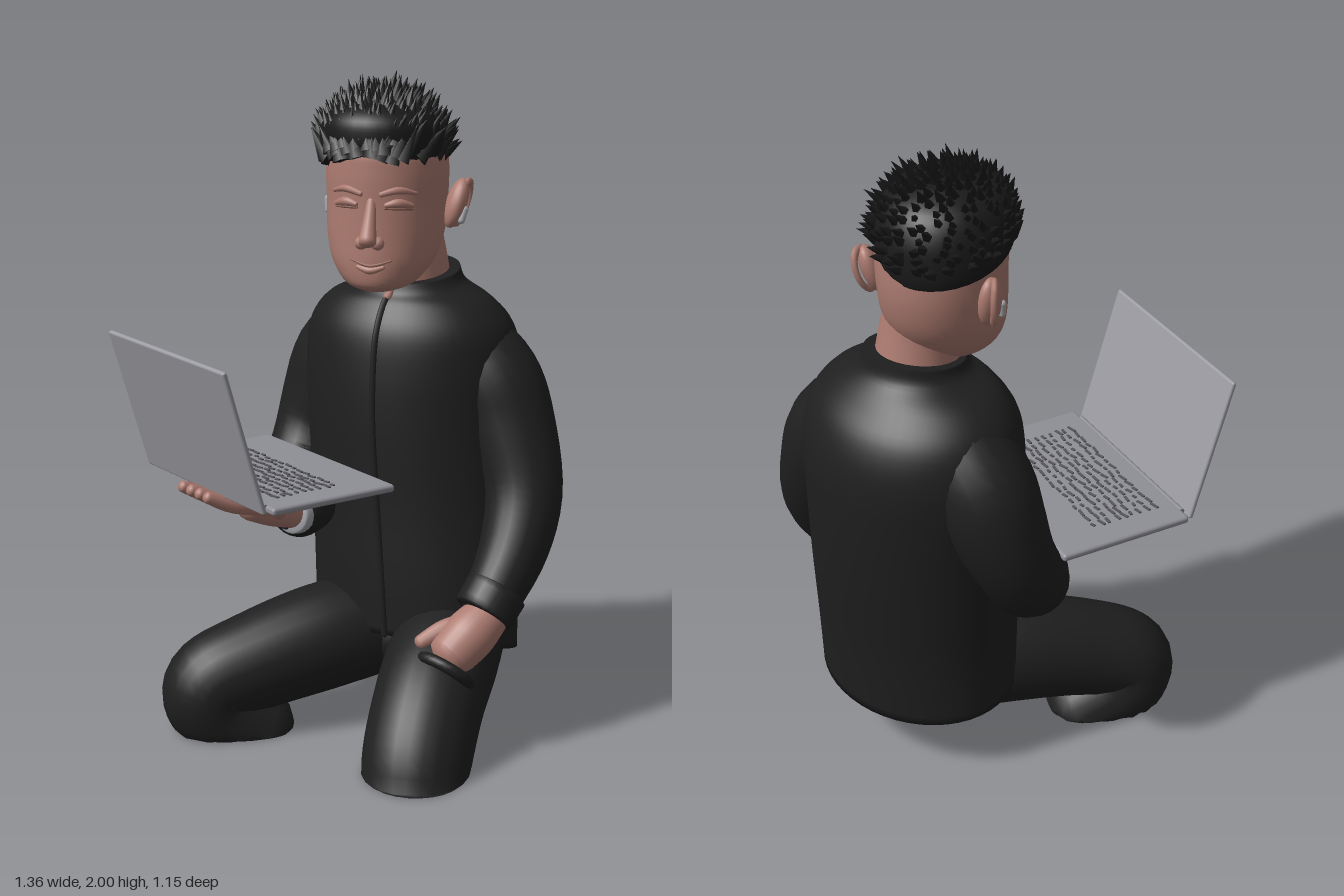
import * as THREE from 'three';
import { mergeGeometries } from 'three/addons/utils/BufferGeometryUtils.js';
import { RoundedBoxGeometry } from 'three/addons/geometries/RoundedBoxGeometry.js';

const V = (x, y, z) => new THREE.Vector3(x, y, z);
const mat = (name, color) => {
  const m = new THREE.MeshStandardMaterial({ color });
  m.name = name;
  return m;
};

// Smoothly interpolates rows of numbers (Catmull-Rom)
function spline(rows, n) {
  const last = rows.length - 1;
  return Array.from({ length: n + 1 }, (_, k) => {
    const f = (k / n) * last, i = Math.min(Math.floor(f), last - 1), t = f - i;
    const at = j => rows[Math.min(Math.max(j, 0), last)];
    return rows[i].map((_, c) => {
      const a = at(i - 1)[c], b = at(i)[c], d = at(i + 1)[c], e = at(i + 2)[c];
      return b + 0.5 * t * (d - a + t * (2 * a - 5 * b + 4 * d - e + t * (3 * (b - d) + e - a)));
    });
  });
}

// Skins rings {c, u, v}; u x v points along the direction of travel. Nothing goes below the floor when clamped.
function loft(rings, seg = 32, clamp = false) {
  const pos = [], idx = [], n = rings.length;
  const put = p => pos.push(p.x, clamp ? Math.max(p.y, 0) : p.y, p.z);
  for (const { c, u, v } of rings)
    for (let j = 0; j < seg; j++) {
      const a = (j / seg) * Math.PI * 2;
      put(c.clone().addScaledVector(u, Math.cos(a)).addScaledVector(v, Math.sin(a)));
    }
  put(rings[0].c);
  put(rings[n - 1].c);
  for (let j = 0; j < seg; j++) {
    const k = (j + 1) % seg, e = (n - 1) * seg;
    for (let i = 0; i < n - 1; i++) {
      const r = i * seg, s = r + seg;
      idx.push(r + j, r + k, s + j, r + k, s + k, s + j);
    }
    idx.push(n * seg, k, j, n * seg + 1, e + j, e + k);
  }
  const g = new THREE.BufferGeometry();
  g.setAttribute('position', new THREE.Float32BufferAttribute(pos, 3));
  g.setIndex(idx);
  g.computeVertexNormals();
  return g;
}

// Round-ended tube through rows [x, y, z, radius]
function limb(rows, { n = 24, seg = 24, clamp = false, cap = 0.7 } = {}) {
  const pts = spline(rows, n).map(r => ({ c: V(r[0], r[1], r[2]), r: r[3] }));
  pts.forEach((p, i) => {
    p.t = pts[Math.min(i + 1, n)].c.clone().sub(pts[Math.max(i - 1, 0)].c).normalize();
  });
  const ends = (p, s) => [0.4, 0.8, 1.15, 1.45].map(a =>
    ({ c: p.c.clone().addScaledVector(p.t, s * cap * p.r * Math.sin(a)), r: p.r * Math.cos(a), t: p.t }));
  const all = [...ends(pts[0], -1).reverse(), ...pts, ...ends(pts[n], 1)];
  let u = Math.abs(all[0].t.x) < 0.8 ? V(1, 0, 0) : V(0, 0, 1);
  return loft(all.map(p => {
    u = u.clone().addScaledVector(p.t, -u.dot(p.t)).normalize();
    return { c: p.c, u: u.clone().multiplyScalar(p.r), v: p.t.clone().cross(u).multiplyScalar(p.r) };
  }), seg, clamp);
}

export function createModel() {
  const model = new THREE.Group();
  const cloth = mat('black cloth', 0x1f1f1f), hairMat = mat('black hair', 0x191919);
  const skin = mat('skin', 0xac7b70), crease = mat('skin crease', 0x8f6459);
  const grey = mat('laptop grey', 0x8f8f96), lidGrey = mat('lid grey', 0x9c9ca3);
  const dark = mat('key grey', 0x56565c), pale = mat('pale grey', 0xa4a6aa);
  const add = (parent, name, geo, m, p) => {
    const mesh = new THREE.Mesh(geo, m);
    mesh.name = name;
    if (p) mesh.position.set(...p);
    parent.add(mesh);
    return mesh;
  };

  // Jacket: rows [y, x, z, half width, half depth, front tilt], turned toward -x
  const F = V(-0.59, 0, 0.81), L = V(0.81, 0, 0.59);
  const torso = spline([
    [0.25, 0.265, -0.13, 0.335, 0.235, 0.06], [0.45, 0.265, -0.15, 0.335, 0.25, 0.03],
    [0.7, 0.265, -0.185, 0.335, 0.27, 0], [0.95, 0.26, -0.21, 0.34, 0.285, 0],
    [1.12, 0.26, -0.22, 0.345, 0.283, 0], [1.24, 0.255, -0.215, 0.325, 0.255, 0],
    [1.32, 0.25, -0.205, 0.26, 0.2, 0], [1.365, 0.25, -0.19, 0.17, 0.158, -0.012],
    [1.405, 0.25, -0.19, 0.148, 0.145, -0.022]], 40)
    .map(([y, x, z, a, b, tf]) => ({ c: V(x, y, z), u: F.clone().multiplyScalar(b).setY(tf), v: L.clone().multiplyScalar(a) }));
  add(model, 'jacket', loft(torso, 48), cloth);
  const front = torso.map(r => r.c.clone().add(r.u).addScaledVector(r.v, 0.04));
  const strip = (from, to, r) => limb(front.slice(from, to).map(p => [p.x, p.y, p.z, r]), { n: 40, seg: 8 });
  add(model, 'jacketPlacket', strip(0, 33, 0.01), cloth);
  add(model, 'collarOpening', strip(33, 41, 0.013), skin);

  // Arms and cuffs
  add(model, 'leftSleeve', limb([[0.38, 1.19, -0.14, 0.145], [0.475, 1.08, -0.07, 0.155], [0.525, 0.95, -0.02, 0.145],
    [0.56, 0.76, 0.06, 0.122], [0.52, 0.6, 0.14, 0.105], [0.43, 0.45, 0.22, 0.085]]), cloth);
  add(model, 'leftCuff', limb([[0.46, 0.49, 0.2, 0.096], [0.415, 0.43, 0.23, 0.094]], { n: 4, cap: 0.15 }), cloth);
  add(model, 'rightSleeve', limb([[0.13, 1.19, -0.34, 0.145], [0.06, 1.08, -0.405, 0.155], [0.015, 0.96, -0.425, 0.145],
    [-0.035, 0.83, -0.415, 0.125], [-0.08, 0.715, -0.34, 0.118], [-0.08, 0.69, -0.15, 0.1],
    [-0.12, 0.7, 0.0, 0.085]]), cloth);
  add(model, 'rightInnerCuff', limb([[-0.115, 0.695, 0.0, 0.07], [-0.145, 0.7, 0.035, 0.062]], { n: 4, cap: 0.15 }), pale);

  // Left hand, fingers tucked into the pocket
  add(model, 'leftHand', limb([[0.43, 0.43, 0.24, 0.066], [0.37, 0.38, 0.27, 0.078], [0.31, 0.325, 0.29, 0.072]]), skin);
  add(model, 'leftThumb', limb([[0.37, 0.41, 0.25, 0.032], [0.29, 0.39, 0.255, 0.03], [0.22, 0.355, 0.26, 0.022]], { n: 10, seg: 12 }), skin);
  const pocket = add(model, 'pocketOpening', new THREE.TorusGeometry(0.08, 0.018, 10, 28), cloth, [0.29, 0.28, 0.31]);
  pocket.lookAt(0.45, 0.5, 0.2);

  // Right hand, palm up under the laptop
  add(model, 'rightHand', limb([[-0.13, 0.7, 0.02, 0.05], [-0.2, 0.73, 0.06, 0.058], [-0.27, 0.76, 0.1, 0.055]]), skin);
  for (let i = 0; i < 4; i++) {
    const s = (i - 1.5) * 0.046, x = s * 0.49, z = s * 0.87;
    add(model, 'rightFinger', limb([[-0.24 + x, 0.755, 0.08 + z, 0.026], [-0.36 + x, 0.782, 0.135 + z, 0.025],
      [-0.44 + x, 0.82, 0.17 + z, 0.018]], { n: 10, seg: 12 }), skin);
  }
  add(model, 'rightThumb', limb([[-0.19, 0.73, 0.1, 0.028], [-0.2, 0.77, 0.17, 0.025], [-0.25, 0.795, 0.21, 0.018]], { n: 10, seg: 12 }), skin);

  // Trousers, cut flat at the floor
  const hips = new THREE.SphereGeometry(1, 32, 20).scale(0.3, 0.15, 0.22);
  add(model, 'hips', hips, cloth, [0.275, 0.27, -0.14]).rotation.y = -0.63;
  add(model, 'leftLeg', limb([[0.4, 0.29, -0.14, 0.165], [0.315, 0.24, 0.1, 0.172], [0.245, 0.16, 0.27, 0.168],
    [0.19, 0.01, 0.395, 0.163], [0.18, -0.15, 0.45, 0.138]], { clamp: true }), cloth);
  add(model, 'rightLeg', limb([[0.16, 0.28, -0.16, 0.165], [-0.05, 0.255, -0.08, 0.168], [-0.25, 0.21, -0.02, 0.155],
    [-0.395, 0.155, 0.01, 0.142], [-0.38, 0.06, 0.0, 0.138], [-0.24, -0.03, -0.02, 0.13]], { clamp: true, n: 36 }), cloth);

  // Neck and head
  add(model, 'neck', limb([[0.25, 1.34, -0.19, 0.125], [0.23, 1.46, -0.18, 0.122], [0.2, 1.58, -0.18, 0.125]]), skin);
  const head = new THREE.Group();
  head.name = 'head';
  head.position.set(0.17, 1.58, -0.165);
  head.rotation.y = -0.38;
  model.add(head);
  const shell = rows => rows.map(([y, z, a, b, tilt = 0]) => ({ c: V(0, y, z), u: V(0, tilt * b, b), v: V(a, 0, 0) }));
  const skull = spline([[-0.212, 0.1, 0.05, 0.06], [-0.19, 0.08, 0.105, 0.12], [-0.13, 0.045, 0.153, 0.165],
    [-0.05, 0.015, 0.176, 0.192], [0.05, 0, 0.182, 0.204], [0.15, 0, 0.184, 0.203], [0.22, 0, 0.172, 0.192],
    [0.3, 0, 0.12, 0.13]], 36);
  add(head, 'face', loft(shell(skull), 40), skin);

  // Facial features follow the surface of the face
  const onFace = (x, y, r) => {
    const row = skull.reduce((p, q) => (Math.abs(q[0] - y) < Math.abs(p[0] - y) ? q : p));
    return [x, y, row[1] + row[3] * Math.sqrt(1 - (x / row[2]) ** 2), r];
  };
  for (const s of [-1, 1]) {
    add(head, 'browRidge', limb([onFace(s * 0.03, 0.088, 0.008), onFace(s * 0.08, 0.1, 0.011), onFace(s * 0.125, 0.088, 0.006)], { n: 12, seg: 8 }), skin);
    add(head, 'eyelid', limb([onFace(s * 0.045, 0.056, 0.008), onFace(s * 0.08, 0.062, 0.014), onFace(s * 0.115, 0.052, 0.008)], { n: 12, seg: 10 }), skin);
    add(head, 'closedEye', limb([onFace(s * 0.042, 0.047, 0.003), onFace(s * 0.08, 0.046, 0.005), onFace(s * 0.118, 0.042, 0.003)], { n: 12, seg: 8 }), crease);
    add(head, 'nostril', new THREE.SphereGeometry(0.02, 14, 10), skin, [s * 0.025, -0.055, 0.214]);

    // The left ear stands out further than the right, which sits further back
    const ear = new THREE.Group();
    ear.name = s > 0 ? 'leftEar' : 'rightEar';
    ear.position.set(s > 0 ? 0.21 : -0.172, 0.038, s > 0 ? -0.012 : -0.07);
    ear.rotation.set(-0.12, s > 0 ? 0.4 : -0.2, s > 0 ? -0.28 : 0.08);
    head.add(ear);
    add(ear, 'earShell', new THREE.SphereGeometry(1, 20, 14).scale(0.032, 0.078, 0.045), skin);
    const rim = add(ear, 'earRim', new THREE.TorusGeometry(0.048, 0.01, 8, 24).scale(0.8, 1.35, 1), skin, [s * 0.018, 0.008, -0.005]);
    rim.rotation.y = s * 1.0;
    add(ear, 'earbud', new THREE.CapsuleGeometry(0.011, 0.034, 4, 10), pale, [s * 0.026, -0.028, 0.024]);
  }
  add(head, 'nose', limb([[0, 0.07, 0.192, 0.014], [0, 0.01, 0.215, 0.02], [0, -0.045, 0.238, 0.027]], { n: 12, seg: 16 }), skin);
  add(head, 'mouth', limb([onFace(-0.062, -0.108, 0.003), onFace(0, -0.124, 0.005), onFace(0.062, -0.108, 0.003)], { n: 16, seg: 8 }), crease);
  add(head, 'lowerLip', limb([onFace(-0.04, -0.128, 0.006), onFace(0, -0.138, 0.011), onFace(0.04, -0.128, 0.006)], { n: 12, seg: 10 }), skin);

  // Hair: tilted cap with swept-back clumps
  const hair = new THREE.Group();
  hair.name = 'hair';
  hair.position.set(-0.012, 0, 0.008);
  head.add(hair);
  const cap = spline([[0.155, -0.005, 0.187, 0.21, 0.22], [0.2, -0.005, 0.195, 0.217, 0.22], [0.27, -0.005, 0.187, 0.207, 0.15],
    [0.325, -0.01, 0.145, 0.16, 0.08], [0.355, -0.015, 0.06, 0.07, 0.02]], 20);
  add(hair, 'hairCap', loft(shell(cap), 32), hairMat);
  let seed = 7;
  const rnd = () => (seed = (seed * 16807) % 2147483647) / 2147483647;
  const spikes = [], count = 240, up = V(0, 1, 0);
  for (let i = 0; i < count; i++) {
    const h = (i + 0.5) / count, r = Math.sqrt(1 - h * h), a = i * 2.39996 + rnd() * 0.25;
    const n = V(r * Math.cos(a), h, r * Math.sin(a));
    const dir = n.clone().multiplyScalar(0.46).add(V((rnd() - 0.5) * 0.3, 0.38 + rnd() * 0.2, -0.52)).normalize();
    const len = 0.09 + rnd() * 0.05;
    const p = V(n.x * 0.183, 0.185 + n.y * 0.163 + n.z * 0.035 * (1 - h), n.z * 0.202 - 0.003).addScaledVector(dir, len * 0.17);
    const q = new THREE.Quaternion().setFromUnitVectors(up, dir);
    spikes.push(new THREE.ConeGeometry(0.031, len, 5).applyQuaternion(q).translate(p.x, p.y, p.z));
  }
  add(hair, 'hairSpikes', mergeGeometries(spikes), hairMat);

  // Laptop: origin at the hinge, +z toward the user
  const laptop = new THREE.Group();
  laptop.name = 'laptop';
  laptop.position.set(-0.391, 0.825, 0.107);
  laptop.rotation.y = 2.07;
  model.add(laptop);
  add(laptop, 'laptopBase', new RoundedBoxGeometry(0.685, 0.024, 0.43, 2, 0.01), grey, [0, -0.004, 0.214]);
  const lid = new THREE.Group();
  lid.name = 'laptopLid';
  lid.position.set(0.005, -0.012, -0.014);
  lid.rotation.x = -0.29;
  laptop.add(lid);
  add(lid, 'lidShell', new RoundedBoxGeometry(0.65, 0.455, 0.016, 2, 0.007), lidGrey, [0, 0.227, 0]);
  add(laptop, 'hinge', new THREE.CylinderGeometry(0.01, 0.01, 0.6, 12).rotateZ(Math.PI / 2), grey);
  const keys = [];
  for (let row = 0; row < 9; row++)
    for (let k = 0; k < 15; k++) {
      const w = 0.014 + rnd() * 0.02;
      keys.push(new THREE.BoxGeometry(w, 0.006, 0.008).rotateY((rnd() - 0.3) * 0.5)
        .translate(-0.245 + k * 0.035, 0.009, 0.06 + row * 0.026 + rnd() * 0.01));
    }
  add(laptop, 'keyboard', mergeGeometries(keys), dark);
  return model;
}
